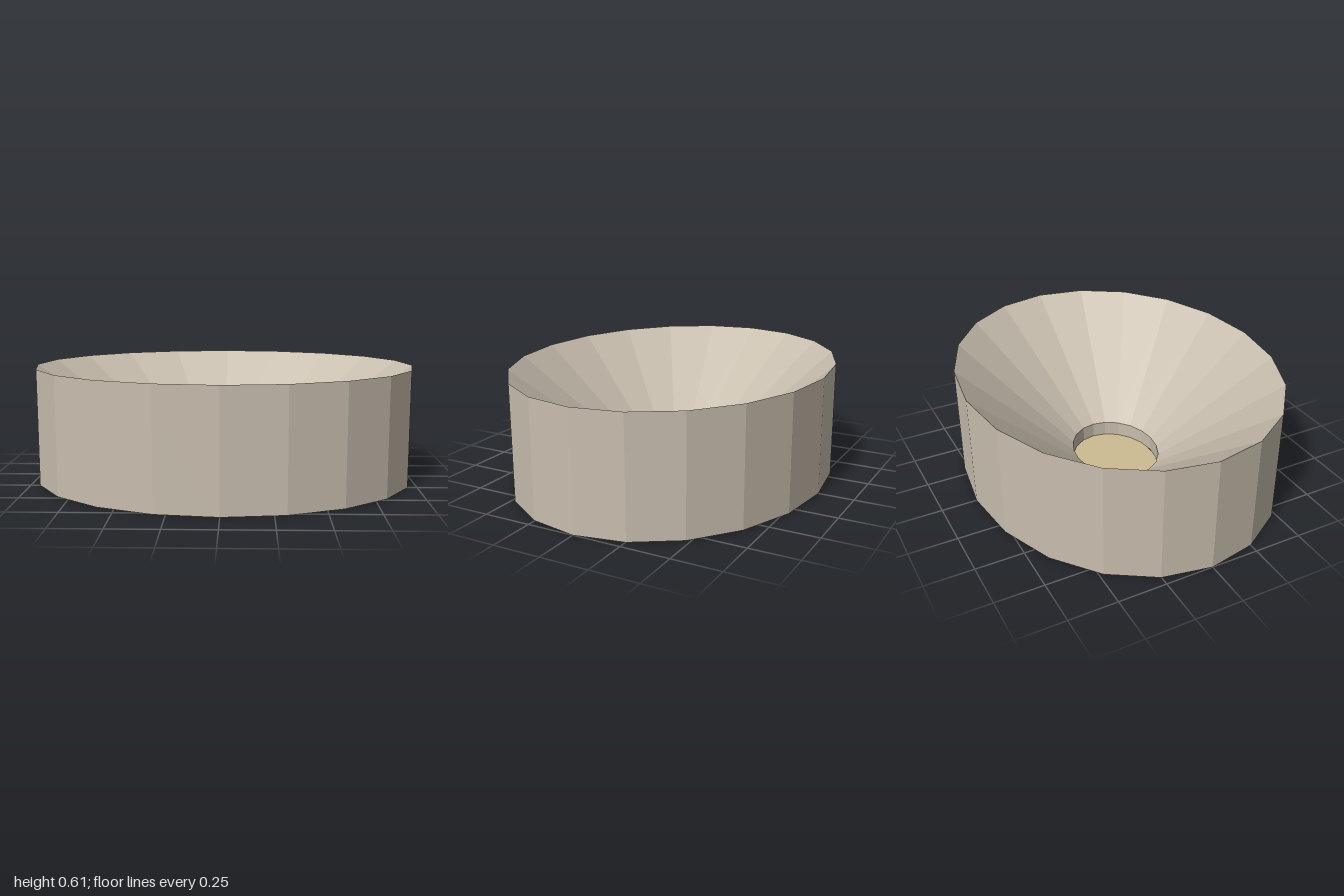
import * as THREE from 'three';

const SIDES = 20;
const DEPTH = 0.814; // depth of the oval relative to its width
const HEIGHT = 0.605;
const NECK_RADIUS = 0.275;
const NECK_HEIGHT = 0.08;

export function createModel() {
  const group = new THREE.Group();
  const stone = new THREE.MeshStandardMaterial({ color: 0xc8beae, flatShading: true, side: THREE.DoubleSide });
  const sand = new THREE.MeshStandardMaterial({ color: 0xccbc92, flatShading: true, side: THREE.DoubleSide });

  // Oval faceted band swept between two [radius, height] points
  function band(name, from, to) {
    const profile = [new THREE.Vector2(...from), new THREE.Vector2(...to)];
    const geometry = new THREE.LatheGeometry(profile, SIDES).scale(1, 1, DEPTH);
    const mesh = new THREE.Mesh(geometry, stone);
    mesh.name = name;
    group.add(mesh);
  }

  band('outerWall', [1, 0], [1, HEIGHT]);
  band('funnel', [NECK_RADIUS, NECK_HEIGHT], [1, HEIGHT]);
  band('neck', [NECK_RADIUS, 0], [NECK_RADIUS, NECK_HEIGHT]);

  // Thin rectangular floor closing the neck
  const floor = new THREE.Mesh(new THREE.PlaneGeometry(0.56, 0.44).rotateX(-Math.PI / 2), sand);
  floor.name = 'floorPlate';
  group.add(floor);

  return group;
}
